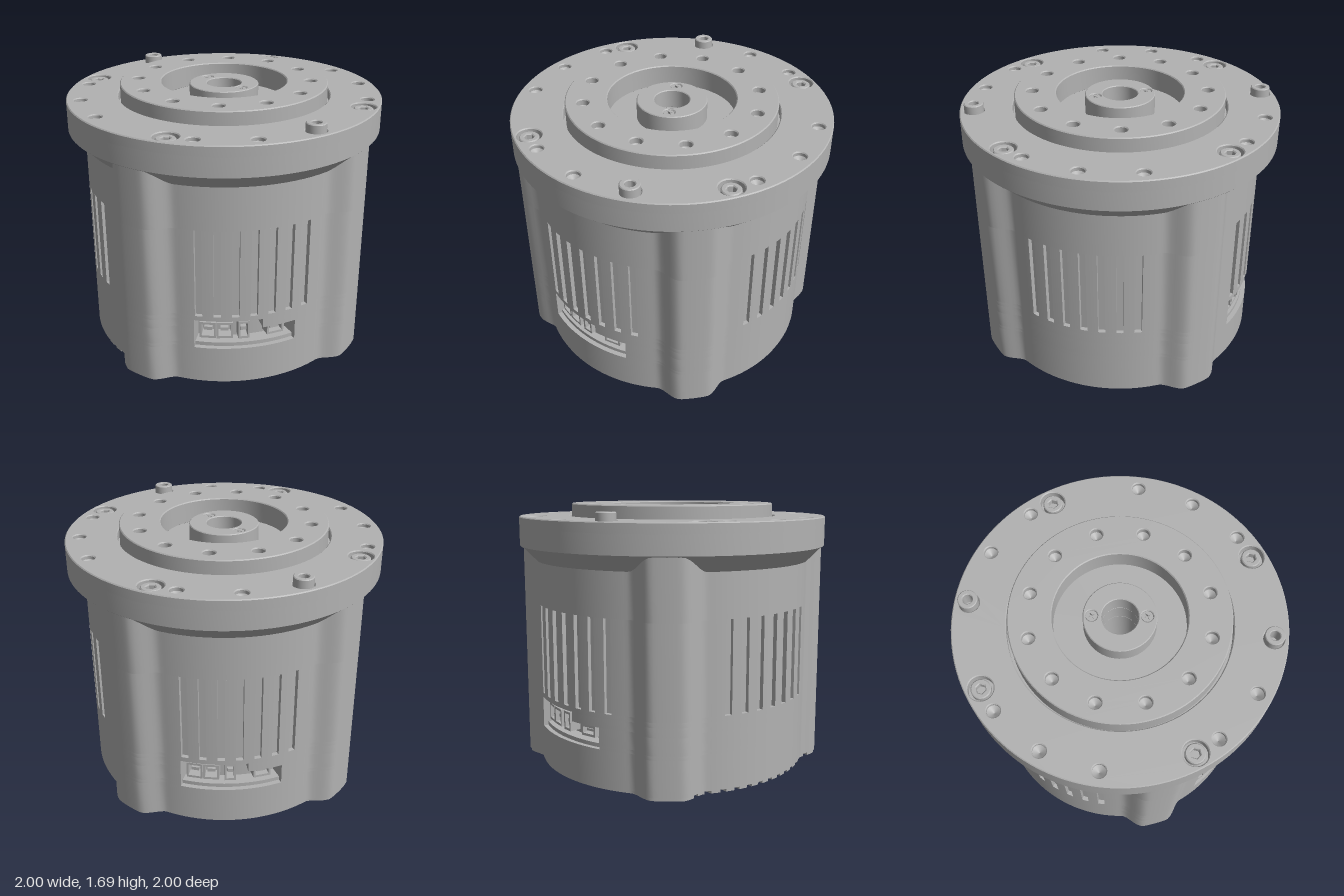
import * as THREE from 'three';
import { toCreasedNormals } from 'three/addons/utils/BufferGeometryUtils.js';

const RAD = Math.PI / 180;
const BORE = 0.11;

export function createModel() {
  const root = new THREE.Group();
  const grey = new THREE.MeshStandardMaterial({ color: 0xb2b2b2, side: THREE.DoubleSide });
  grey.name = 'machined grey';

  const add = (name, geometry, x = 0, y = 0, z = 0, parent = root) => {
    const mesh = new THREE.Mesh(geometry, grey);
    mesh.name = name;
    mesh.position.set(x, y, z);
    parent.add(mesh);
    return mesh;
  };

  // Angles run in degrees from +z towards +x; plan shapes use (x, -z)
  const polar = (r, deg) => new THREE.Vector2(r * Math.sin(deg * RAD), -r * Math.cos(deg * RAD));
  const circle = (r, c = new THREE.Vector2(), n = 24) =>
    Array.from({ length: n }, (_, i) => polar(r, (i * 360) / n).add(c));

  // Vertical slab from y0 to y1 with optional holes and chamfer
  const slab = (y0, y1, outline, holes = [], bevel = 0) => {
    const shape = new THREE.Shape(outline);
    holes.forEach((h) => shape.holes.push(new THREE.Path(h)));
    const g = new THREE.ExtrudeGeometry(shape, {
      depth: y1 - y0 - 2 * bevel, bevelEnabled: bevel > 0, bevelSize: bevel,
      bevelThickness: bevel, bevelOffset: -bevel, bevelSegments: 1,
    });
    g.translate(0, 0, y0 + bevel);
    g.rotateX(-Math.PI / 2);
    return toCreasedNormals(g, 0.5);
  };

  // Housing outline: round, with four smooth lobes on the axes
  const radius = (deg) => {
    const d = Math.abs(deg - 90 * Math.round(deg / 90));
    return 0.895 + 0.09 * (1 - THREE.MathUtils.smoothstep(d, 5, 14.5));
  };
  // cuts: { a0, a1, inner } replaces the rim between two angles by inner points
  const outline = (cuts = [], shrink = 0) => {
    const pts = [];
    const rim = (a) => pts.push(polar(radius(a) - shrink, a));
    const sorted = [...cuts].sort((p, q) => p.a0 - q.a0);
    let a = 0;
    const runTo = (end) => {
      for (; a < end - 0.2; a += 1.5) rim(a);
    };
    for (const c of sorted) {
      runTo(c.a0);
      rim(c.a0);
      pts.push(...c.inner);
      rim(c.a1);
      a = Math.max(c.a1, Math.ceil((c.a1 + 0.2) / 1.5) * 1.5);
    }
    runTo(360);
    return pts;
  };
  const radialCut = (a0, a1, r) => {
    const inner = [];
    const n = Math.ceil((a1 - a0) / 3);
    for (let i = 0; i <= n; i++) inner.push(polar(r, a0 + ((a1 - a0) * i) / n));
    return { a0, a1, inner };
  };
  const portCuts = (a1, r) => [0, 180].map((o) => radialCut(o + 21.5, o + a1, r));

  // Vent slots: seven on each quadrant
  const vents = [];
  for (let q = 0; q < 4; q++) {
    for (let k = -3; k <= 3; k++) {
      const a = q * 90 + 45 + k * 7.2;
      vents.push(radialCut(a - 1.45, a + 1.45, 0.868));
    }
  }

  // Housing built as stacked bands
  const bore = circle(BORE, undefined, 48);
  const bands = [
    ['housingBase', 0.02, 0.25, []],
    ['portLedge', 0.25, 0.275, portCuts(62.5, 0.865)],
    ['portBand', 0.275, 0.385, portCuts(62.5, 0.78)],
    ['portUpperBand', 0.385, 0.445, portCuts(48.5, 0.78)],
    ['housingMiddle', 0.445, 0.475, []],
    ['ventBand', 0.475, 1.05, vents],
    ['housingTop', 1.05, 1.42, []],
  ];
  for (const [name, y0, y1, cuts] of bands) add(name, slab(y0, y1, outline(cuts), [bore]));

  // Bottom plate with a comb of parallel grooves and four screw holes
  const comb = [];
  const combAngle = 315;
  const edgeAngle = (t) => {
    let a = 0;
    for (let i = 0; i < 30; i++) a = Math.asin(t / radius(combAngle + a)) / RAD;
    return combAngle + a;
  };
  const combPoint = (t) => polar(Math.hypot(t, 0.4), combAngle + Math.atan2(t, 0.4) / RAD);
  for (let k = -6; k <= 6; k++) {
    const t0 = k * 0.088 - 0.018, t1 = k * 0.088 + 0.018;
    comb.push({ a0: edgeAngle(t0), a1: edgeAngle(t1), inner: [combPoint(t0), combPoint(t1)] });
  }
  const feet = [0, 90, 180, 270].map((a) => polar(0.9, a));
  add('bottomPlate', slab(0, 0.02, outline(comb, 0.008),
    [bore, ...feet.map((c) => circle(0.05, c))]));

  // Socket head screw: round head with a hexagonal recess
  const socketHead = (r, h) => slab(0, h, circle(r), [circle(r * 0.5, undefined, 6)], 0.006);
  feet.forEach((c) => add('bottomScrew', socketHead(0.036, 0.018), c.x, 0.003, -c.y));

  // Cone below the flange
  add('flangeCone', new THREE.LatheGeometry(
    [new THREE.Vector2(0.885, 1.315), new THREE.Vector2(0.988, 1.42)], 96));

  // Flange: solid lower slab and drilled upper slab
  const rim = circle(1, undefined, 120);
  const pinSpots = [67.5, 247.5].map((a) => polar(0.91, a));
  const screwSpots = [0, 1, 2, 3].map((q) => polar(0.905, 12.6 + q * 90));
  const drillSpots = [];
  for (let q = 0; q < 4; q++) {
    for (const a of [22.5, 45, 67.5]) {
      if (a !== 67.5 || q % 2) drillSpots.push(polar(0.91, q * 90 + a));
    }
  }
  add('flangeLower', slab(1.42, 1.55, rim, [bore], 0.004));
  add('flangeUpper', slab(1.535, 1.61, rim, [
    circle(0.675, undefined, 96),
    ...drillSpots.map((c) => circle(0.04, c)),
    ...pinSpots.map((c) => circle(0.062, c)),
    ...screwSpots.map((c) => circle(0.076, c, 32)),
  ], 0.006));

  // Conical bottom of a drilled hole
  const drillPoint = (name, c, r, y) => add(name, new THREE.LatheGeometry(
    [new THREE.Vector2(0, -0.03), new THREE.Vector2(r, 0)], 24), c.x, y, -c.y);
  drillSpots.forEach((c) => drillPoint('flangeDrillPoint', c, 0.04, 1.585));

  // Hollow locating pins and flange screws
  pinSpots.forEach((c) => add('locatingPin',
    slab(1.55, 1.66, circle(0.06), [circle(0.03)], 0.005), c.x, 0, -c.y));
  screwSpots.forEach((c) => add('flangeScrew', socketHead(0.06, 0.05), c.x, 1.55, -c.y));

  // Raised output ring with twelve holes
  const ringSpots = Array.from({ length: 12 }, (_, i) => polar(0.55, i * 30));
  add('outputRing', slab(1.545, 1.69, circle(0.66, undefined, 96), [
    circle(0.4, undefined, 72), ...ringSpots.map((c) => circle(0.038, c)),
  ], 0.006));
  ringSpots.forEach((c) => drillPoint('ringDrillPoint', c, 0.038, 1.65));

  // Centre hub with two cross-recess screws
  const hubSpots = [new THREE.Vector2(-0.16, 0.05), new THREE.Vector2(0.155, -0.04)];
  add('centreHub', slab(1.545, 1.67, circle(0.22, undefined, 64),
    [bore, ...hubSpots.map((c) => circle(0.036, c))], 0.005));
  const cross = [];
  for (let q = 0; q < 4; q++) {
    for (const [x, y] of [[0.006, -0.022], [0.006, -0.006]]) {
      cross.push(new THREE.Vector2(x, y).rotateAround(new THREE.Vector2(), (q * Math.PI) / 2));
    }
  }
  hubSpots.forEach((c) => {
    add('hubScrew', slab(1.63, 1.664, circle(0.034), [cross]), c.x, 0, -c.y);
    add('hubScrewFloor', slab(1.62, 1.645, circle(0.036)), c.x, 0, -c.y);
  });

  // Connector sockets in both ports: angle, centre height, width, height
  const sockets = [[26.5, 0.355, 0.1, 0.11], [33.5, 0.355, 0.1, 0.11],
    [41.5, 0.355, 0.07, 0.12], [55, 0.335, 0.11, 0.07]];
  const rect = (w, h) => [[-w, -h], [w, -h], [w, h], [-w, h]].map(([x, y]) => new THREE.Vector2(x / 2, y / 2));
  for (const side of [0, 180]) {
    const port = new THREE.Group();
    port.name = side ? 'backConnectors' : 'frontConnectors';
    port.rotation.y = side * RAD;
    root.add(port);
    for (const [a, y, w, h] of sockets) {
      const shape = new THREE.Shape(rect(w, h));
      shape.holes.push(new THREE.Path(rect(w - 0.024, h - 0.03)));
      const at = [0.775 * Math.sin(a * RAD), y, 0.775 * Math.cos(a * RAD)];
      add('socketShell', new THREE.ExtrudeGeometry(shape, { depth: 0.08, bevelEnabled: false }),
        ...at, port).rotation.y = a * RAD;
      add('socketTongue', new THREE.BoxGeometry(w * 0.5, h * 0.2, 0.12), ...at, port).rotation.y = a * RAD;
    }
  }
  return root;
}
